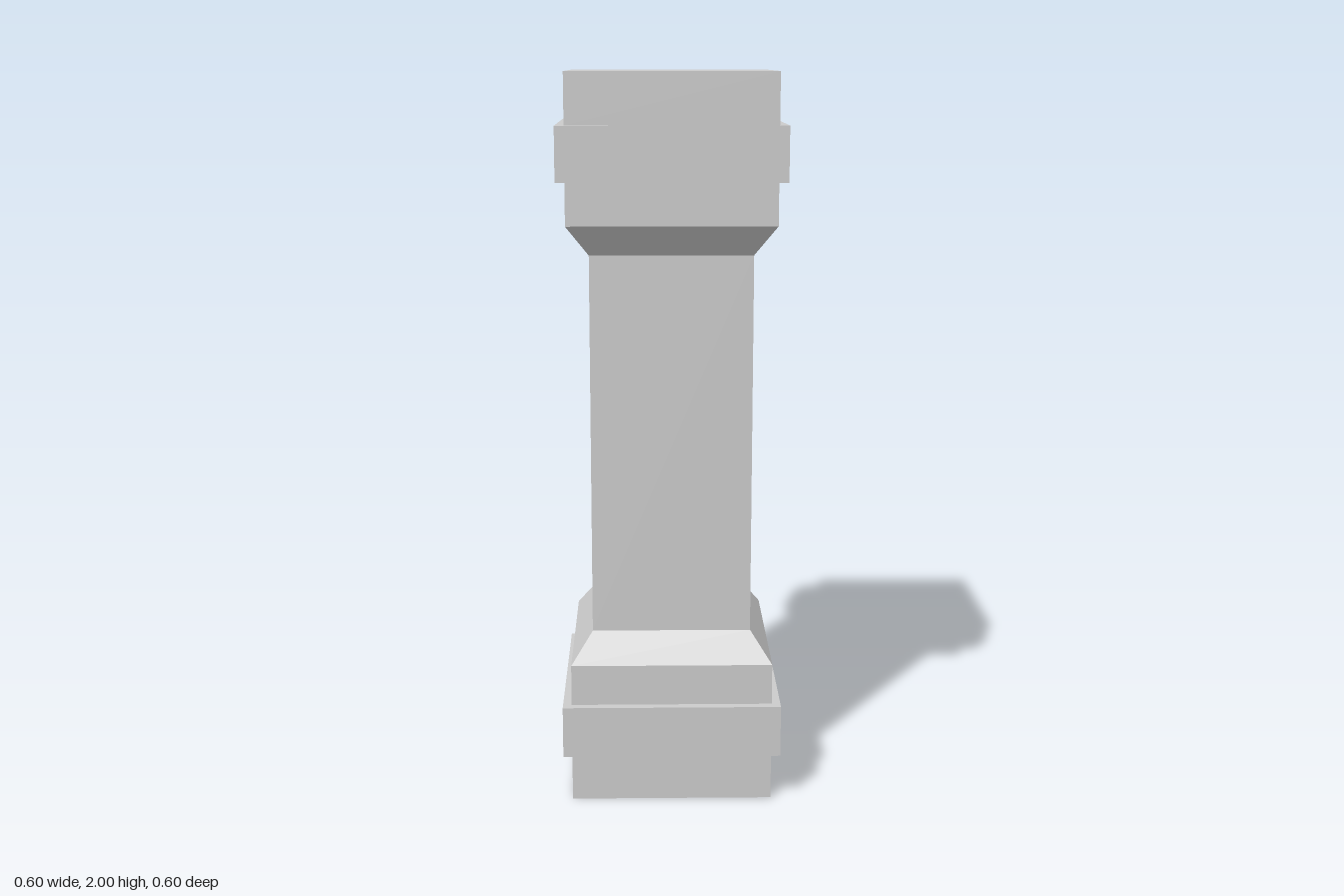
import * as THREE from 'three';

const material = new THREE.MeshStandardMaterial({ color: 0xcccccc, flatShading: true });

// Square block from y0 to y1, with its own half-width at the bottom and top
function block(name, y0, y1, bottom, top = bottom) {
  const geometry = new THREE.CylinderGeometry(top * Math.SQRT2, bottom * Math.SQRT2, y1 - y0, 4);
  geometry.rotateY(Math.PI / 4);
  const mesh = new THREE.Mesh(geometry, material);
  mesh.name = name;
  mesh.position.y = (y0 + y1) / 2;
  return mesh;
}

// Stepped end piece: plinth, wide band, neck block and bevel down to the shaft
function endPiece(name) {
  const group = new THREE.Group();
  group.name = name;
  group.add(
    block('plinth', 0, 0.136, 0.278),
    block('band', 0.136, 0.281, 0.302),
    block('neck', 0.281, 0.395, 0.278),
    block('bevel', 0.395, 0.477, 0.278, 0.219)
  );
  return group;
}

export function createModel() {
  const pillar = new THREE.Group();
  pillar.name = 'pillar';

  // The capital is the base turned upside down
  const base = endPiece('base');
  const capital = endPiece('capital');
  capital.rotation.x = Math.PI;
  capital.position.y = 2;

  pillar.add(base, block('shaft', 0.477, 1.523, 0.219), capital);
  return pillar;
}
